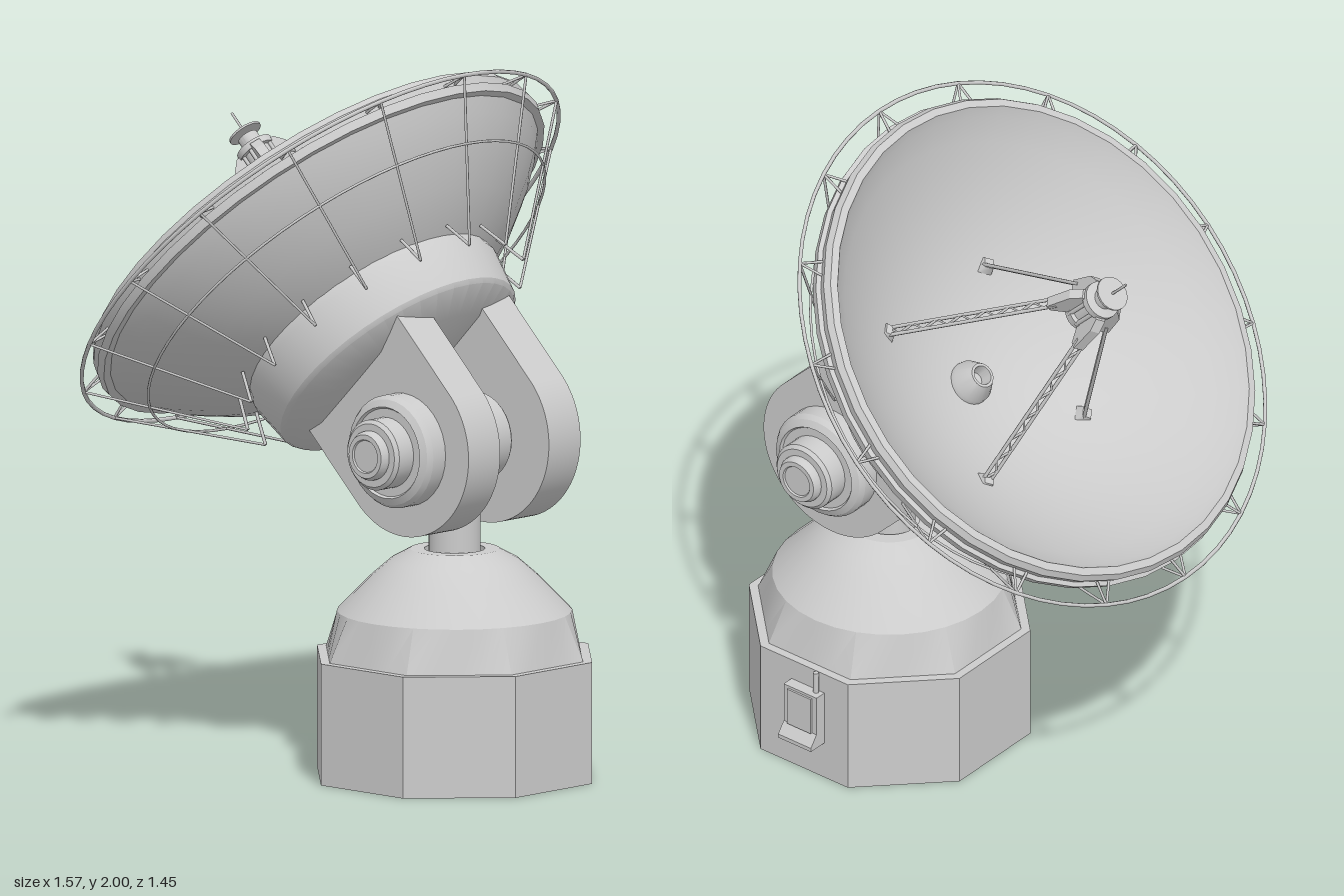
import * as THREE from 'three';
import { toCreasedNormals } from 'three/addons/utils/BufferGeometryUtils.js';

const mat = new THREE.MeshStandardMaterial({ color: 0xcccccc, side: THREE.DoubleSide });
const V = (x, y, z) => new THREE.Vector3(x, y, z);

function add(parent, name, geometry, x = 0, y = 0, z = 0) {
  const mesh = new THREE.Mesh(geometry, mat);
  mesh.name = name;
  mesh.position.set(x, y, z);
  parent.add(mesh);
  return mesh;
}

function group(parent, name, x = 0, y = 0, z = 0) {
  const g = new THREE.Group();
  g.name = name;
  g.position.set(x, y, z);
  parent.add(g);
  return g;
}

// Turned part from [radius, height] pairs, with sharp corners kept
function turned(profile, segments = 32) {
  const pts = profile.map(([r, y]) => new THREE.Vector2(r, y));
  return toCreasedNormals(new THREE.LatheGeometry(pts, segments), 0.5);
}

// Straight round bar between two points
function bar(parent, name, a, b, r = 0.005, sides = 6) {
  const dir = b.clone().sub(a);
  const m = add(parent, name, new THREE.CylinderGeometry(r, r, dir.length(), sides));
  m.position.copy(a).addScaledVector(dir, 0.5);
  m.quaternion.setFromUnitVectors(V(0, 1, 0), dir.normalize());
  return m;
}

function hoop(parent, name, radius, tube, y) {
  add(parent, name, new THREE.TorusGeometry(radius, tube, 6, 64).rotateX(Math.PI / 2), 0, y, 0);
}

// Point at an angle around the dish axis
const polar = (r, y, a) => V(r * Math.sin(a), y, r * Math.cos(a));

function buildBase(root) {
  const base = group(root, 'base', 0, 0, 0.347);
  const c = Math.cos(Math.PI / 8);
  // Hollow eight-sided wall, open below, with a flat ledge on top
  const wall = new THREE.LatheGeometry([[0.365, 0.32], [0.365, 0], [0.38, 0], [0.38, 0.345], [0.345, 0.345]]
    .map(([r, y]) => new THREE.Vector2(r / c, y)), 8).rotateY(Math.PI / 8);
  add(base, 'octagonWall', toCreasedNormals(wall, 0.3));

  // Skirt blends from an octagon to a circle
  const skirt = new THREE.CylinderGeometry(0.33, 0.36, 0.125, 32, 1, true);
  const p = skirt.attributes.position;
  for (let i = 0; i < p.count; i++) {
    if (p.getY(i) > 0) continue;
    const a = Math.atan2(p.getX(i), p.getZ(i));
    const off = a - Math.round(a / (Math.PI / 4)) * (Math.PI / 4);
    const r = 0.355 / Math.cos(off);
    p.setXYZ(i, r * Math.sin(a), p.getY(i), r * Math.cos(a));
  }
  add(base, 'domeSkirt', toCreasedNormals(skirt, 0.4), 0, 0.4075, 0);
  add(base, 'dome', turned([[0.33, 0.47], [0.235, 0.567], [0.18, 0.615], [0.125, 0.645], [0.085, 0.645], [0.085, 0.63], [0.07, 0.63]]));
  add(base, 'post', new THREE.CylinderGeometry(0.073, 0.073, 0.33, 32), 0, 0.79, 0);

  // Service hatch on the left wall
  const hatch = group(base, 'hatch', 0.38, 0, -0.014);
  add(hatch, 'hatchBox', new THREE.BoxGeometry(0.06, 0.165, 0.118), 0.005, 0.2, 0);
  add(hatch, 'hatchDoor', new THREE.BoxGeometry(0.008, 0.115, 0.085), 0.037, 0.217, 0);
  const lip = new THREE.Shape([[0, 0], [0.06, 0], [0.06, 0.012], [0.035, 0.045], [0, 0.045]].map(q => new THREE.Vector2(...q)));
  add(hatch, 'hatchLip', new THREE.ExtrudeGeometry(lip, { depth: 0.118, bevelEnabled: false }), 0, 0.115, -0.059);
  add(hatch, 'conduit', new THREE.CylinderGeometry(0.008, 0.008, 0.07, 8), 0.01, 0.312, -0.037);
}

function buildHinge(root) {
  const hinge = group(root, 'hinge', 0, 0.957, 0.367);
  const core = turned([[0.09, -0.1], [0.09, -0.085], [0.12, -0.085], [0.125, -0.078], [0.125, 0.078], [0.12, 0.085], [0.09, 0.085], [0.09, 0.1]]);
  add(hinge, 'axleSleeve', core.rotateZ(Math.PI / 2));
  for (const s of [1, -1]) {
    const cap = turned([[0.16, 0.22], [0.16, 0.28], [0.15, 0.295], [0.13, 0.305], [0.125, 0.297], [0.1, 0.297],
      [0.1, 0.355], [0.09, 0.365], [0.07, 0.365], [0.07, 0.375], [0.062, 0.39], [0.048, 0.39], [0.045, 0.385], [0, 0.385]]);
    add(hinge, 'axleCap', cap.rotateZ(-s * Math.PI / 2));
  }
}

function buildForks(head) {
  const R = 0.248;
  const shape = new THREE.Shape();
  shape.moveTo(R, 0.285);
  shape.lineTo(-R, 0.285);
  shape.lineTo(-R, 0);
  shape.absarc(0, 0, R, Math.PI, Math.PI * 2, false);
  shape.closePath();
  const geo = new THREE.ExtrudeGeometry(shape, { depth: 0.13, bevelEnabled: false, curveSegments: 28 });
  geo.translate(0, 0, -0.065).rotateY(Math.PI / 2);
  for (const s of [1, -1]) add(head, 'forkPlate', toCreasedNormals(geo, 0.5), s * 0.165, 0, 0);
}

function buildDish(dish) {
  add(dish, 'hubDrum', turned([[0, 0.245], [0.28, 0.25], [0.375, 0.288], [0.385, 0.3], [0.402, 0.42], [0.395, 0.45], [0.36, 0.46]], 40));
  const inside = r => 0.4 + 0.35 * (r / 0.67) ** 2;
  const profile = [[0.36, 0.43], [0.43, 0.465], [0.52, 0.525], [0.61, 0.6], [0.67, 0.662], [0.7, 0.7],
    [0.722, 0.7], [0.728, 0.725], [0.715, 0.73], [0.722, 0.755], [0.712, 0.775], [0.69, 0.778], [0.67, 0.75]];
  for (let i = 11; i >= 0; i--) profile.push([0.67 * i / 12, inside(0.67 * i / 12)]);
  add(dish, 'bowl', turned(profile, 36));
  add(dish, 'centreHorn', turned([[0.064, 0.4], [0.062, 0.42], [0.036, 0.468], [0.028, 0.468], [0.022, 0.43], [0, 0.43]], 24));

  // Back frame: hoops, ribs and rim brackets
  hoop(dish, 'outerHoop', 0.781, 0.006, 0.721);
  hoop(dish, 'middleHoop', 0.65, 0.004, 0.578);
  for (let i = 0; i < 16; i++) {
    const a = i * Math.PI / 8;
    const foot = polar(0.455, 0.367, a), tip = polar(0.781, 0.721, a);
    bar(dish, 'rib', foot, tip, 0.004);
    bar(dish, 'ribFoot', foot, polar(0.425, 0.46, a), 0.005);
    for (const s of [-1, 1]) bar(dish, 'rimBracket', tip, polar(0.715, 0.735, a + s * 0.03), 0.004);
  }
  return inside;
}

function buildFeed(dish, inside) {
  const feed = group(dish, 'feed');
  // Four lattice legs
  for (const sx of [1, -1]) for (const sz of [1, -1]) {
    const a = Math.atan2(sx * 0.218, sz * 0.25);
    const bottom = polar(0.332, inside(0.332), a), top = polar(0.085, 0.975, a);
    const side = V(Math.cos(a), 0, -Math.sin(a)).multiplyScalar(0.012);
    const at = (t, s) => bottom.clone().lerp(top, t).addScaledVector(side, s);
    for (const s of [1, -1]) bar(feed, 'legRail', at(0, s), at(1, s), 0.0055);
    for (let k = 0; k < 14; k++) {
      const s = k % 2 ? 1 : -1;
      bar(feed, 'legLattice', at(k / 14, s), at((k + 1) / 14, -s), 0.004, 4);
    }
    const foot = add(feed, 'legFoot', new THREE.CylinderGeometry(0.02, 0.034, 0.03, 4).rotateY(Math.PI / 4));
    foot.position.copy(bottom);
    foot.rotation.y = a;
    // Bracket plate holding the leg to the receiver
    const fin = new THREE.Shape([[0.03, 0.98], [0.085, 0.945], [0.105, 0.955], [0.085, 1.04], [0.06, 1.07], [0.03, 1.07]]
      .map(q => new THREE.Vector2(...q)));
    const plate = add(feed, 'legBracket', new THREE.ExtrudeGeometry(fin, { depth: 0.03, bevelEnabled: false }).translate(0, 0, -0.015));
    plate.rotation.y = a - Math.PI / 2;
  }
  // Receiver with rounded nose, cap disc and whip antenna
  add(feed, 'receiver', turned([[0, 0.94], [0.03, 0.945], [0.047, 0.96], [0.05, 0.985], [0.04, 0.99], [0.04, 1.06],
    [0.055, 1.06], [0.055, 1.08], [0.03, 1.085], [0.03, 1.115], [0, 1.115]], 20));
  add(feed, 'capDisc', new THREE.CylinderGeometry(0.05, 0.05, 0.006, 20), 0, 1.128, 0);
  bar(feed, 'whip', V(0, 1.11, 0), V(0, 1.2, 0), 0.004);
  for (let i = 0; i < 8; i++) {
    const a = (i + 0.5) * Math.PI / 4;
    bar(feed, 'receiverRod', polar(0.045, 0.975, a), polar(0.045, 1.07, a), 0.006);
  }
}

export function createModel() {
  const root = new THREE.Group();
  root.name = 'dishAntenna';
  buildBase(root);
  buildHinge(root);
  // Tilted head, with its own y along the dish axis
  const head = group(root, 'head', 0, 0.957, 0.367);
  head.rotation.x = -Math.PI / 4;
  buildForks(head);
  const dish = group(head, 'dish', 0, 0, -0.035);
  buildFeed(dish, buildDish(dish));
  return root;
}
